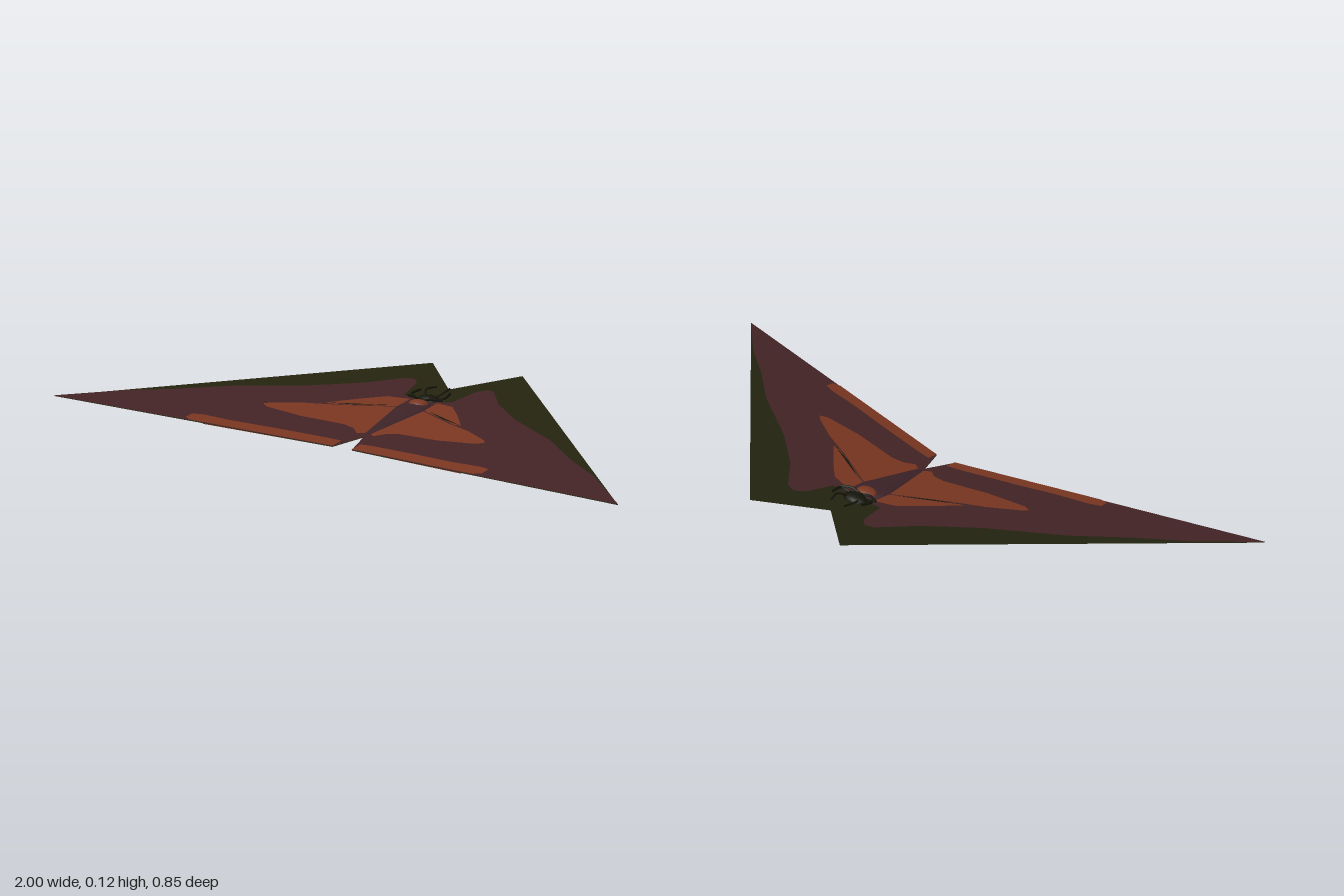
import * as THREE from 'three';

const mat = (name, color) => {
  const m = new THREE.MeshStandardMaterial({ color, side: THREE.DoubleSide });
  m.name = name;
  return m;
};

// Height of the slightly raised, forward-sloping wing plane
const wingY = (x, z) => 0.036 + 0.083 * Math.abs(x) - 0.1625 * z;

// Flat patch lying on the wing plane, outlined in x and z
function patch(points, side, lift) {
  const shape = new THREE.Shape(points.map(([x, z]) => new THREE.Vector2(x, z)));
  const geo = new THREE.ShapeGeometry(shape).toNonIndexed();
  const p = geo.attributes.position;
  for (let i = 0; i < p.count; i++) {
    const x = p.getX(i), z = p.getY(i);
    p.setXYZ(i, side * x, Math.max(0, wingY(x, z) + lift), z);
  }
  geo.computeVertexNormals();
  return geo;
}

export function createModel() {
  const group = new THREE.Group();
  const olive = mat('dark olive', 0x23230f);
  const maroon = mat('maroon', 0x422325);
  const orange = mat('rust orange', 0x783520);
  const purple = mat('body purple', 0x3b2227);
  const black = mat('near black', 0x14140a);

  const add = (name, geo, material, parent = group) => {
    const mesh = new THREE.Mesh(geo, material);
    mesh.name = name;
    parent.add(mesh);
    return mesh;
  };

  // Wing outline and markings, drawn for the left wing
  const outline = [[0, -0.28], [0.17, -0.43], [1, 0.42], [0.035, 0.24], [0, 0.14]];
  const field = [
    [0, -0.16], [0.09, -0.17], [0.1, -0.22], [0.11, -0.265], [0.135, -0.288], [0.165, -0.28],
    [0.25, -0.18], [0.38, -0.07], [0.58, 0.06], [0.72, 0.18], [0.845, 0.272],
    [1, 0.42], [0.035, 0.24], [0, 0.14],
  ];
  const foreMark = [[0.05, -0.15], [0.12, -0.13], [0.18, -0.07], [0.25, 0.01], [0.22, 0.005], [0.05, -0.085]];
  const hindMark = [
    [0.05, -0.08], [0.2, 0], [0.3, 0.045], [0.39, 0.1], [0.405, 0.118], [0.38, 0.13],
    [0.25, 0.128], [0.1, 0.105], [0.06, 0.112], [0.03, 0.135], [0.01, 0.12],
  ];
  const stripe = [
    [0.035, 0.2], [0.08, 0.205], [0.25, 0.235], [0.4, 0.265], [0.5, 0.278], [0.535, 0.29],
    [0.535, 0.32], [0.51, 0.3286], [0.035, 0.24],
  ];
  const vein = [[0.07, -0.08], [0.16, -0.034], [0.25, 0.012], [0.16, -0.026]];
  const underStripe = [[0.035, 0.215], [0.25, 0.255], [0.45, 0.3], [0.47, 0.321], [0.035, 0.24]];

  for (const side of [1, -1]) {
    const wing = new THREE.Group();
    wing.name = side > 0 ? 'leftWing' : 'rightWing';
    add('wingMembrane', patch(outline, side, 0), olive, wing);
    add('wingField', patch(field, side, 0.002), maroon, wing);
    add('foreMarking', patch(foreMark, side, 0.004), orange, wing);
    add('hindMarking', patch(hindMark, side, 0.004), orange, wing);
    add('edgeStripe', patch(stripe, side, 0.004), orange, wing);
    add('wingVein', patch(vein, side, 0.005), black, wing);
    add('undersideStripe', patch(underStripe, side, -0.002), orange, wing);
    group.add(wing);
  }

  // Coloured areas beneath the right wing root
  add('undersidePatch', patch([[0, -0.2], [0.08, -0.2], [0.2, -0.04], [0.06, 0.06], [0, 0.13]], -1, -0.002), orange);
  add('undersideRootPatch', patch([[0.02, -0.22], [0.08, -0.32], [0.15, -0.28], [0.09, -0.2]], -1, -0.002), maroon);

  // Flattened tapering body, tilted along the wing slope
  const profile = [[0, -0.16], [0.035, -0.15], [0.062, -0.1], [0.05, -0.05], [0.032, 0.04], [0.018, 0.1], [0, 0.14]];
  const bodyGeo = new THREE.LatheGeometry(profile.map(([r, z]) => new THREE.Vector2(r, z)), 10);
  bodyGeo.rotateX(Math.PI / 2).scale(1, 0.24, 1).rotateX(0.16).translate(0, 0.037, 0);
  add('body', bodyGeo, purple);

  // Collar and head
  const blob = (name, w, h, d, y, z, material) => {
    const mesh = add(name, new THREE.SphereGeometry(1, 10, 7), material);
    mesh.scale.set(w, h, d);
    mesh.position.set(0, y, z);
  };
  blob('collar', 0.034, 0.013, 0.025, 0.065, -0.125, orange);
  blob('head', 0.042, 0.018, 0.028, 0.066, -0.175, black);

  // Antennae and short legs around the head
  const tube = (name, pts, r) => {
    const curve = new THREE.CatmullRomCurve3(pts.map((p) => new THREE.Vector3(...p)));
    add(name, new THREE.TubeGeometry(curve, 8, r, 5), black);
  };
  for (const s of [1, -1]) {
    tube('antenna', [[s * 0.012, 0.07, -0.18], [s * 0.035, 0.09, -0.21], [s * 0.025, 0.092, -0.25]], 0.003);
    tube('frontLeg', [[s * 0.025, 0.07, -0.16], [s * 0.06, 0.08, -0.17], [s * 0.055, 0.088, -0.21]], 0.004);
    tube('collarLeg', [[0, 0.07, -0.15], [s * 0.035, 0.078, -0.148], [s * 0.065, 0.077, -0.16]], 0.004);
    tube('lowerLeg', [[s * 0.01, 0.06, -0.15], [s * 0.03, 0.045, -0.155], [s * 0.045, 0.042, -0.165]], 0.004);
  }
  return group;
}
